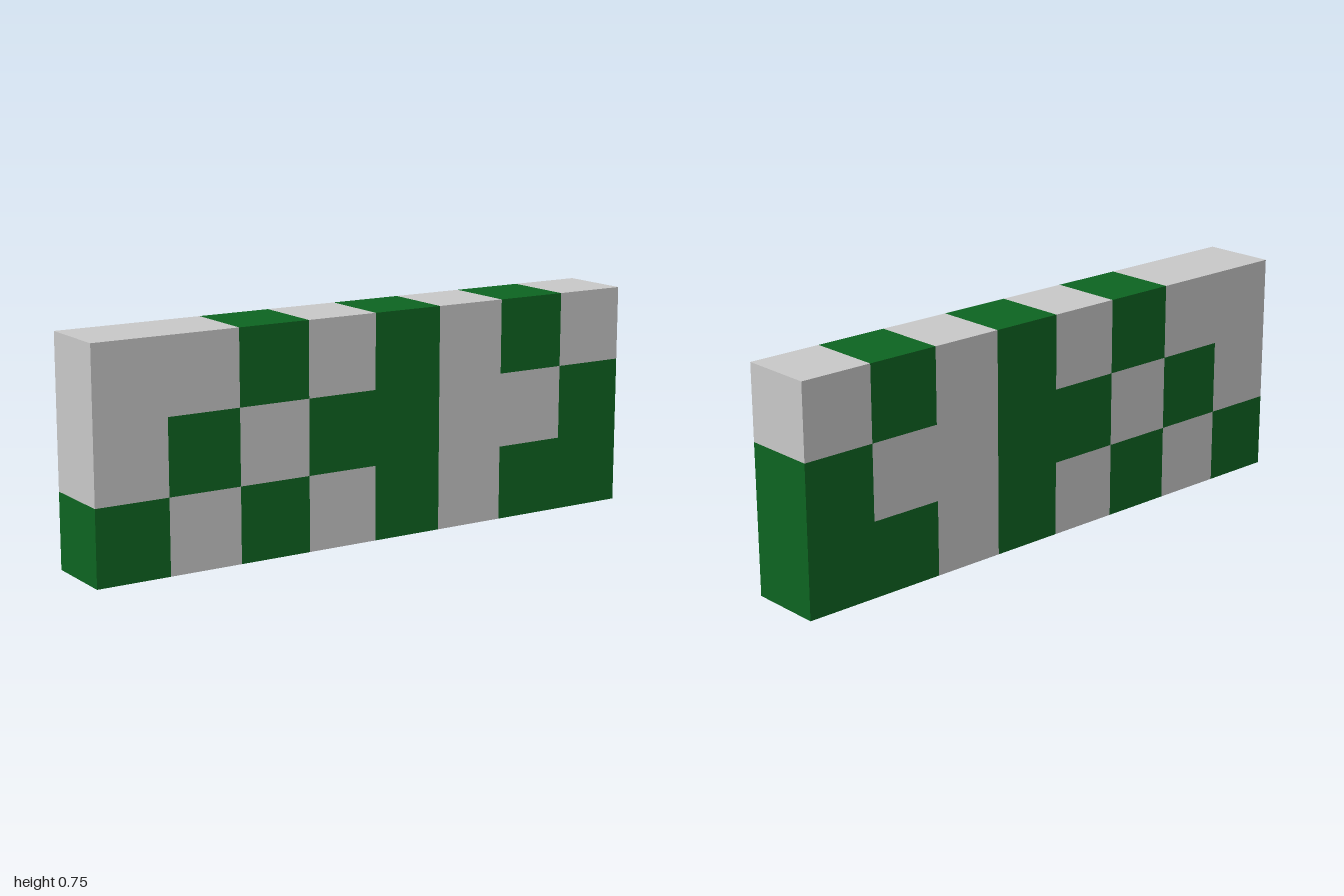
import * as THREE from 'three';

export function createModel() {
  const model = new THREE.Group();
  model.name = 'blockWall';

  const green = new THREE.MeshStandardMaterial({ color: 0x0d6421 });
  green.name = 'dark green';
  const grey = new THREE.MeshStandardMaterial({ color: 0xc8c8c8 });
  grey.name = 'light grey';

  // Block pattern, top row first: G = green, . = grey
  const rows = ['..G.G.G.', '.G.GG..G', 'G.G.G.GG'];
  const size = 0.25;
  const cube = new THREE.BoxGeometry(size, size, size);

  rows.forEach((row, r) => {
    const course = new THREE.Group();
    course.name = ['topCourse', 'middleCourse', 'bottomCourse'][r];
    course.position.y = (rows.length - r - 0.5) * size;
    [...row].forEach((cell, c) => {
      const isGreen = cell === 'G';
      const block = new THREE.Mesh(cube, isGreen ? green : grey);
      block.name = isGreen ? 'greenBlock' : 'greyBlock';
      block.position.x = (c + 0.5 - row.length / 2) * size;
      course.add(block);
    });
    model.add(course);
  });

  return model;
}
